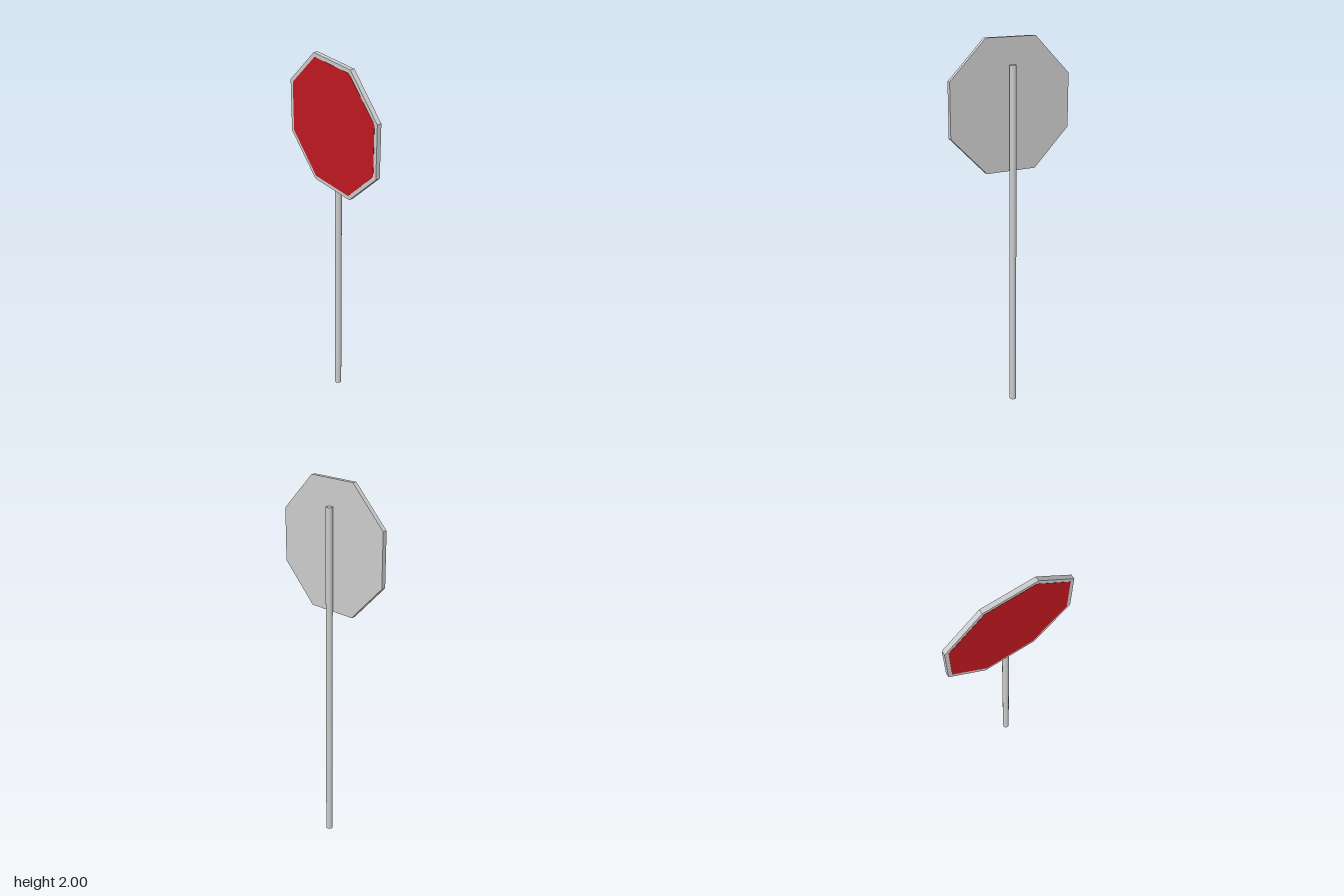
import * as THREE from 'three';

const CENTER_Y = 1.657;

// Regular octagonal slab with flat top and sides, facing +z
function octagonSlab(name, apothem, zBack, zFront, material) {
  const depth = zFront - zBack;
  const radius = apothem / Math.cos(Math.PI / 8);
  const geometry = new THREE.CylinderGeometry(radius, radius, depth, 8);
  geometry.rotateY(Math.PI / 8).rotateX(Math.PI / 2);
  const mesh = new THREE.Mesh(geometry, material);
  mesh.name = name;
  mesh.position.set(0, CENTER_Y, (zBack + zFront) / 2);
  return mesh;
}

export function createModel() {
  const grey = new THREE.MeshStandardMaterial({ color: 0xcccccc });
  const greyFlat = new THREE.MeshStandardMaterial({ color: 0xcccccc, flatShading: true });
  const red = new THREE.MeshStandardMaterial({ color: 0xc01820, flatShading: true });
  const model = new THREE.Group();
  model.name = 'roadSign';

  // Round post standing behind the plate
  const height = 1.862;
  const post = new THREE.Mesh(new THREE.CylinderGeometry(0.018, 0.018, height, 32), grey);
  post.name = 'post';
  post.position.set(0, height / 2, -0.013);
  model.add(post);

  // Grey plate whose rim frames the red face
  model.add(octagonSlab('signPlate', 0.343, 0.005, 0.029, greyFlat));
  model.add(octagonSlab('redFace', 0.323, 0.028, 0.03, red));
  return model;
}
